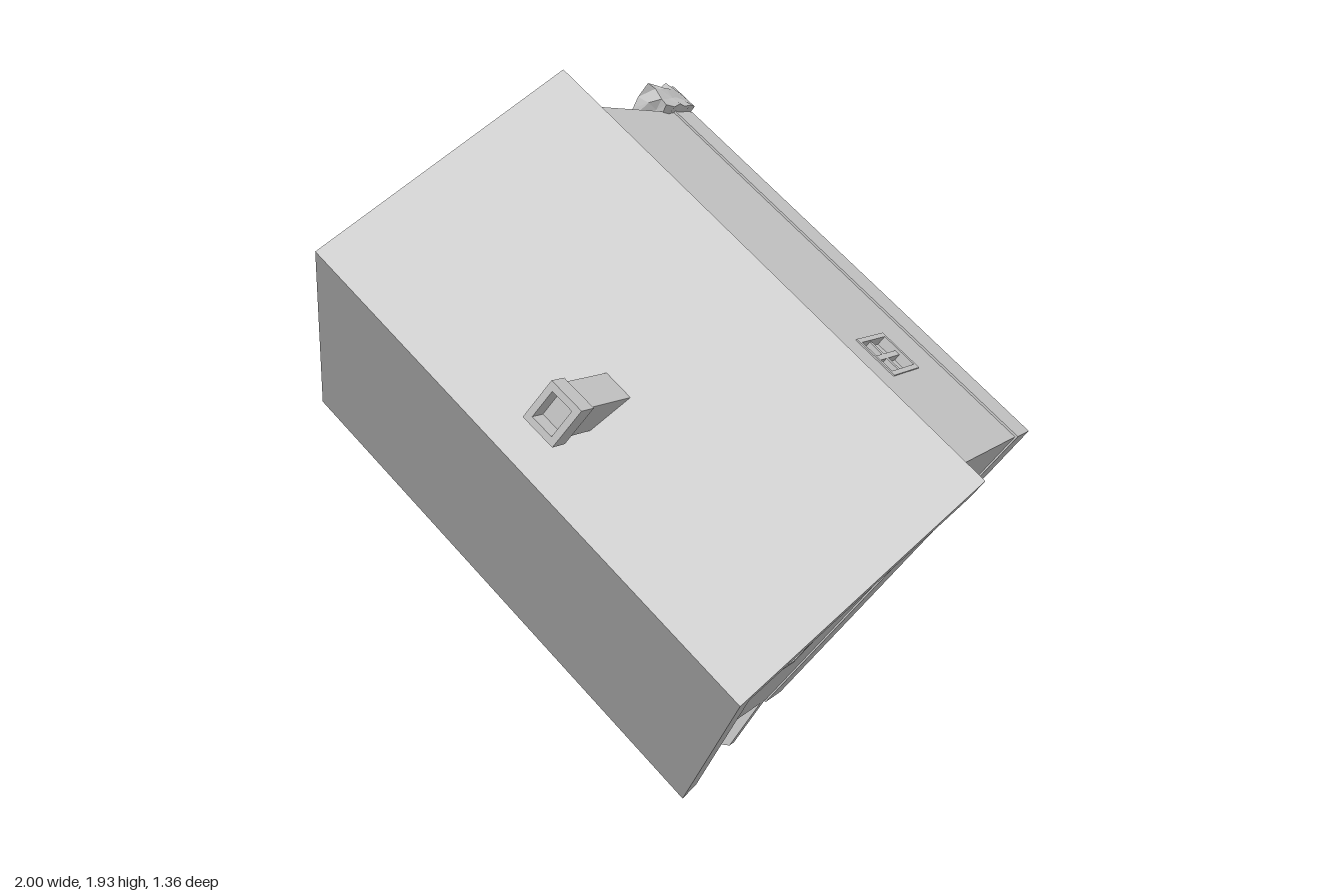
import * as THREE from 'three';

const grey = new THREE.MeshStandardMaterial({ color: 0xcccccc, flatShading: true, side: THREE.DoubleSide });

function add(parent, name, geometry, x = 0, y = 0, z = 0) {
  const mesh = new THREE.Mesh(geometry, grey);
  mesh.name = name;
  mesh.position.set(x, y, z);
  parent.add(mesh);
  return mesh;
}

// Box given by its limits along each axis
function block(parent, name, [x0, x1], [y0, y1], [z0, z1]) {
  return add(parent, name, new THREE.BoxGeometry(x1 - x0, y1 - y0, z1 - z0),
    (x0 + x1) / 2, (y0 + y1) / 2, (z0 + z1) / 2);
}

const polygon = pts => new THREE.Shape(pts.map(p => new THREE.Vector2(...p)));
const rect = (x, y, w, h) => [[x - w / 2, y - h / 2], [x + w / 2, y - h / 2], [x + w / 2, y + h / 2], [x - w / 2, y + h / 2]];

// Repeatable roughness that depends only on position
function roughen(geometry, amount) {
  const p = geometry.attributes.position;
  const noise = (a, b, c, k) => {
    const s = Math.sin(a * 127.1 + b * 311.7 + c * 74.7 + k * 19.3) * 43758.5;
    return (s - Math.floor(s) - 0.5) * amount;
  };
  for (let i = 0; i < p.count; i++) {
    const [a, b, c] = [p.getX(i), p.getY(i), p.getZ(i)].map(v => Math.round(v * 1000) / 1000);
    p.setXYZ(i, a + noise(a, b, c, 1), b + noise(a, b, c, 2), c + noise(a, b, c, 3));
  }
  geometry.computeVertexNormals();
  return geometry;
}

const HALF_L = 0.67, HALF_W = 0.545, BASE = -0.67, EAVE = 0.075, WALL = 0.03;

// Wall panel facing "out", with recessed cross-barred windows [along, height, width, tall]
function wall(parent, name, out, distance, outline, windows) {
  const up = new THREE.Vector3(0, 0, 1);
  const panel = new THREE.Group();
  panel.name = name;
  panel.quaternion.setFromRotationMatrix(new THREE.Matrix4().makeBasis(up.clone().cross(out), up, out));
  panel.position.copy(out).multiplyScalar(distance - WALL);
  const shape = polygon(outline);
  for (const w of windows) shape.holes.push(new THREE.Path(rect(...w).map(p => new THREE.Vector2(...p))));
  add(panel, 'wallSurface', new THREE.ExtrudeGeometry(shape, { depth: WALL, bevelEnabled: false }));
  for (const [x, y, w, h] of windows) {
    add(panel, 'windowPane', new THREE.BoxGeometry(w, h, 0.006), x, y, 0.003);
    add(panel, 'windowPost', new THREE.BoxGeometry(0.016, h, 0.024), x, y, 0.014);
    add(panel, 'windowBar', new THREE.BoxGeometry(w, 0.016, 0.024), x, y + 0.01, 0.014);
    for (const s of [-1, 1]) {
      add(panel, 'windowJamb', new THREE.BoxGeometry(0.014, h, 0.032), x + s * (w / 2 - 0.007), y, 0.018);
      add(panel, 'windowRail', new THREE.BoxGeometry(w, 0.014, 0.032), x, y + s * (h / 2 - 0.007), 0.018);
    }
  }
  parent.add(panel);
  return panel;
}

export function createModel() {
  const model = new THREE.Group();
  model.name = 'cottage';

  // House frame: x along the ridge, y across it, z up to the ridge
  const house = new THREE.Group();
  house.name = 'house';
  house.rotation.z = -0.711;
  house.position.set(0.04, 0.99, 0);
  model.add(house);

  // Walls
  const V = (x, y) => new THREE.Vector3(x, y, 0);
  const gable = [[-HALF_W, BASE], [HALF_W, BASE], [HALF_W, EAVE], [0, 0.59], [-HALF_W, EAVE]];
  const side = [[-HALF_L, BASE], [HALF_L, BASE], [HALF_L, EAVE + 0.02], [-HALF_L, EAVE + 0.02]];
  const four = [];
  for (const s of [-1, 1]) four.push([s * 0.228, 0.16, 0.145, 0.18], [s * 0.228, -0.245, 0.145, 0.21]);
  wall(house, 'gableWall', V(1, 0), HALF_L, gable, four);
  wall(house, 'gableWall', V(-1, 0), HALF_L, gable, [[-0.15, -0.285, 0.145, 0.21], [0, 0.125, 0.145, 0.18]]);
  wall(house, 'backWall', V(0, 1), HALF_W, side, [[-0.31, -0.275, 0.135, 0.21]]);
  const front = wall(house, 'frontWall', V(0, -1), HALF_W, side,
    [[-0.38, -0.26, 0.14, 0.21], [0.4, -0.26, 0.14, 0.21]]);
  add(front, 'door', new THREE.BoxGeometry(0.17, 0.36, 0.02), 0, -0.325, WALL);
  block(house, 'floor', [-HALF_L, HALF_L], [-HALF_W, HALF_W], [BASE, BASE + 0.02]);
  block(house, 'plinth', [-HALF_L, HALF_L + 0.005], [-HALF_W - 0.005, HALF_W + 0.006], [BASE, -0.55]);

  // Gabled roof, rising very slightly along the ridge
  const roof = new THREE.ExtrudeGeometry(polygon([[-0.595, 0.08], [-0.54, 0.075], [0, 0.58], [0.54, 0.075],
    [0.595, 0.08], [0, 0.632]]), { depth: 1.5, bevelEnabled: false });
  roof.translate(0, 0, -0.75);
  roof.applyMatrix4(new THREE.Matrix4().makeBasis(V(0, 1), new THREE.Vector3(0, 0, 1), V(1, 0)));
  roof.applyMatrix4(new THREE.Matrix4().set(1, 0, 0, 0, 0, 1, 0, 0, 0.02, 0, 1, 0, 0, 0, 0, 1));
  roof.computeVertexNormals();
  add(house, 'roof', roof);

  // Chimney with a hollow cap
  block(house, 'chimneyShaft', [-0.045, 0.04], [0.14, 0.235], [0.38, 0.64]);
  const cap = polygon(rect(0, 0, 0.1, 0.115));
  cap.holes.push(new THREE.Path(rect(0, 0, 0.065, 0.08).map(p => new THREE.Vector2(...p))));
  add(house, 'chimneyCap', new THREE.ExtrudeGeometry(cap, { depth: 0.06, bevelEnabled: false }), 0, 0.187, 0.63);

  // Rough stone ledge along one gable
  const ledge = roughen(new THREE.BoxGeometry(0.085, 1.29, 0.19, 3, 30, 5), 0.016);
  add(house, 'stoneLedge', ledge, -0.71, -0.07, -0.568);

  // Terrace slab with a cut corner
  const terrace = polygon([[-0.67, -0.54], [-0.665, -0.82], [0.57, -0.818], [0.69, -0.712], [0.67, -0.54]]);
  add(house, 'terrace', new THREE.ExtrudeGeometry(terrace, { depth: 0.034, bevelEnabled: false }), 0, 0, -0.54);

  // Rough footing under the terrace, narrowing downwards behind the steps
  const footing = new THREE.BoxGeometry(0.5, 0.27, 0.09, 8, 4, 2);
  const p = footing.attributes.position;
  for (let i = 0; i < p.count; i++) p.setX(i, p.getX(i) * (0.65 + p.getZ(i) * 7));
  add(house, 'terraceFooting', roughen(footing, 0.02), 0, -0.68, -0.585);

  // Entrance steps
  for (let i = 0; i < 4; i++) {
    block(house, 'step', [-0.126, 0.151], [-0.866 - i * 0.046, -0.82 - i * 0.046], [BASE, -0.515 - i * 0.036]);
  }
  return model;
}
